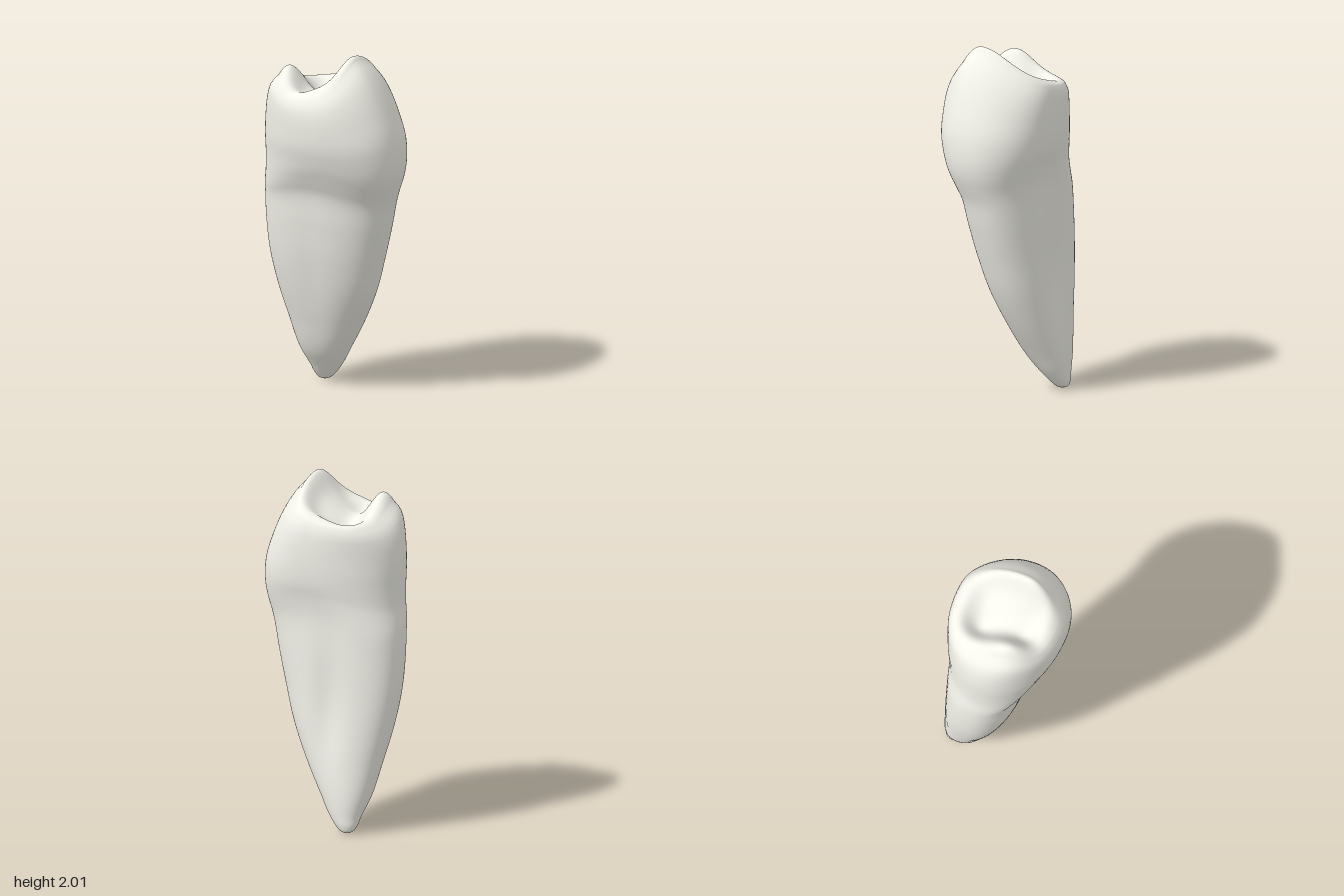
import * as THREE from 'three';

// Cross-sections are laid out in a frame turned 45 degrees:
// u runs from the inner side to the outer (cheek) side, v across it.
// Each row: height, uMin, uWidest, uMax, vMin, vMax, squareness exponent
const SECTIONS = [
  [0.00, -0.200, -0.200, -0.200, 0.225, 0.225, 2.0],
  [0.01, -0.229, -0.199, -0.169, 0.196, 0.254, 2.0],
  [0.03, -0.248, -0.195, -0.142, 0.175, 0.267, 2.0],
  [0.10, -0.270, -0.175, -0.080, 0.120, 0.277, 2.1],
  [0.20, -0.305, -0.160, -0.015, 0.048, 0.281, 2.2],
  [0.40, -0.355, -0.125, 0.105, -0.034, 0.278, 2.2],
  [0.60, -0.400, -0.100, 0.200, -0.100, 0.270, 2.3],
  [0.80, -0.432, -0.084, 0.265, -0.152, 0.264, 2.3],
  [1.00, -0.442, -0.060, 0.320, -0.192, 0.262, 2.3],
  [1.15, -0.437, -0.040, 0.355, -0.222, 0.262, 2.3],
  [1.20, -0.432, -0.025, 0.373, -0.248, 0.266, 2.25],
  [1.30, -0.415, 0.020, 0.408, -0.290, 0.280, 2.2],
  [1.40, -0.410, 0.045, 0.423, -0.318, 0.298, 2.15],
  [1.50, -0.408, 0.050, 0.412, -0.340, 0.308, 2.15],
  [1.60, -0.400, 0.048, 0.362, -0.350, 0.312, 2.15],
  [1.70, -0.378, 0.035, 0.292, -0.350, 0.310, 2.25],
  [1.76, -0.347, 0.015, 0.236, -0.338, 0.302, 2.4],
  [1.80, -0.305, 0.000, 0.190, -0.315, 0.287, 2.5],
];
const RIM_Y = 1.8;
const AROUND = 96, WALL_RINGS = 90, CAP_RINGS = 28;

const spline = new THREE.CubicInterpolant(
  SECTIONS.map((s) => s[0]), SECTIONS.flatMap((s) => s.slice(1)), 6);

const bell = (d, width) => Math.exp(-((d / width) ** 2));

// Point on the section outline at height y, scaled by r towards its centre
function outline(y, angle, r = 1) {
  const [u0, uc, u1, v0, v1, n] = spline.evaluate(y);
  const c = Math.cos(angle), s = Math.sin(angle);
  const k = r / Math.pow(Math.abs(c) ** n + Math.abs(s) ** n, 1 / n);
  return [uc + (c > 0 ? u1 - uc : uc - u0) * c * k, (v0 + v1) / 2 + (v1 - v0) / 2 * s * k];
}

// Chewing surface: marginal ridge, two cusps and two pits
function biteHeight(u, v, r) {
  const ridge = 0.1 * bell(r - 0.86, 0.32);
  const mainCusp = 0.222 * bell(u - 0.15, u > 0.15 ? 0.16 : 0.21)
    * bell(v + 0.08, v > -0.08 ? 0.3 : 0.18);
  const smallCusp = 0.125 * bell(u + 0.225, 0.11) * bell(v + 0.12, 0.14);
  const pits = 0.03 * bell(u + 0.11, 0.07) * bell(v + 0.19, 0.08)
    + 0.04 * bell(u + 0.14, 0.07) * bell(v - 0.1, 0.09);
  return 1.69 + ridge + mainCusp + smallCusp - pits;
}

function toothGeometry() {
  const positions = [], index = [];
  const put = (u, v, y) => positions.push((u + v) * Math.SQRT1_2, y, (u - v) * Math.SQRT1_2);

  // Root and crown walls; the upper rings rise to meet the cusps
  for (let i = 0; i <= WALL_RINGS; i++) {
    const y = RIM_Y * (i / WALL_RINGS) ** 1.3;
    const lift = THREE.MathUtils.smoothstep(y, 1.35, RIM_Y);
    for (let j = 0; j < AROUND; j++) {
      const angle = j / AROUND * Math.PI * 2;
      const [ru, rv] = outline(RIM_Y, angle);
      const [u, v] = outline(y, angle);
      // Shallow lengthwise grooves on both flat sides of the root
      const groove = bell(y - 0.72, 0.32) * bell(u + 0.09, 0.09);
      // The neck line arches upward on the flat sides
      const arch = 0.07 * bell(y - 1.2, 0.22) * Math.sin(angle) ** 4;
      put(u, v - groove * (Math.sin(angle) > 0 ? 0.03 : -0.008),
        y + arch + lift * (biteHeight(ru, rv, 1) - RIM_Y));
    }
  }
  // Chewing surface closing in to the centre
  for (let i = 1; i <= CAP_RINGS; i++) {
    const r = 1 - i / CAP_RINGS;
    for (let j = 0; j < AROUND; j++) {
      const [u, v] = outline(RIM_Y, j / AROUND * Math.PI * 2, r);
      put(u, v, biteHeight(u, v, r));
    }
  }
  // Join the rings; the first and last are single points
  const last = WALL_RINGS + CAP_RINGS - 1;
  for (let i = 0; i <= last; i++) {
    for (let j = 0; j < AROUND; j++) {
      const a = i * AROUND + j, b = i * AROUND + (j + 1) % AROUND;
      const c = a + AROUND, d = b + AROUND;
      if (i > 0) index.push(a, b, c);
      if (i < last) index.push(b, d, c);
    }
  }
  const geometry = new THREE.BufferGeometry();
  geometry.setAttribute('position', new THREE.Float32BufferAttribute(positions, 3));
  geometry.setIndex(index);
  geometry.computeVertexNormals();
  return geometry;
}

export function createModel() {
  const group = new THREE.Group();
  group.name = 'tooth';
  const tooth = new THREE.Mesh(toothGeometry(), new THREE.MeshStandardMaterial({ color: 0xf3f2ea }));
  tooth.name = 'crownAndRoot';
  group.add(tooth);
  return group;
}
